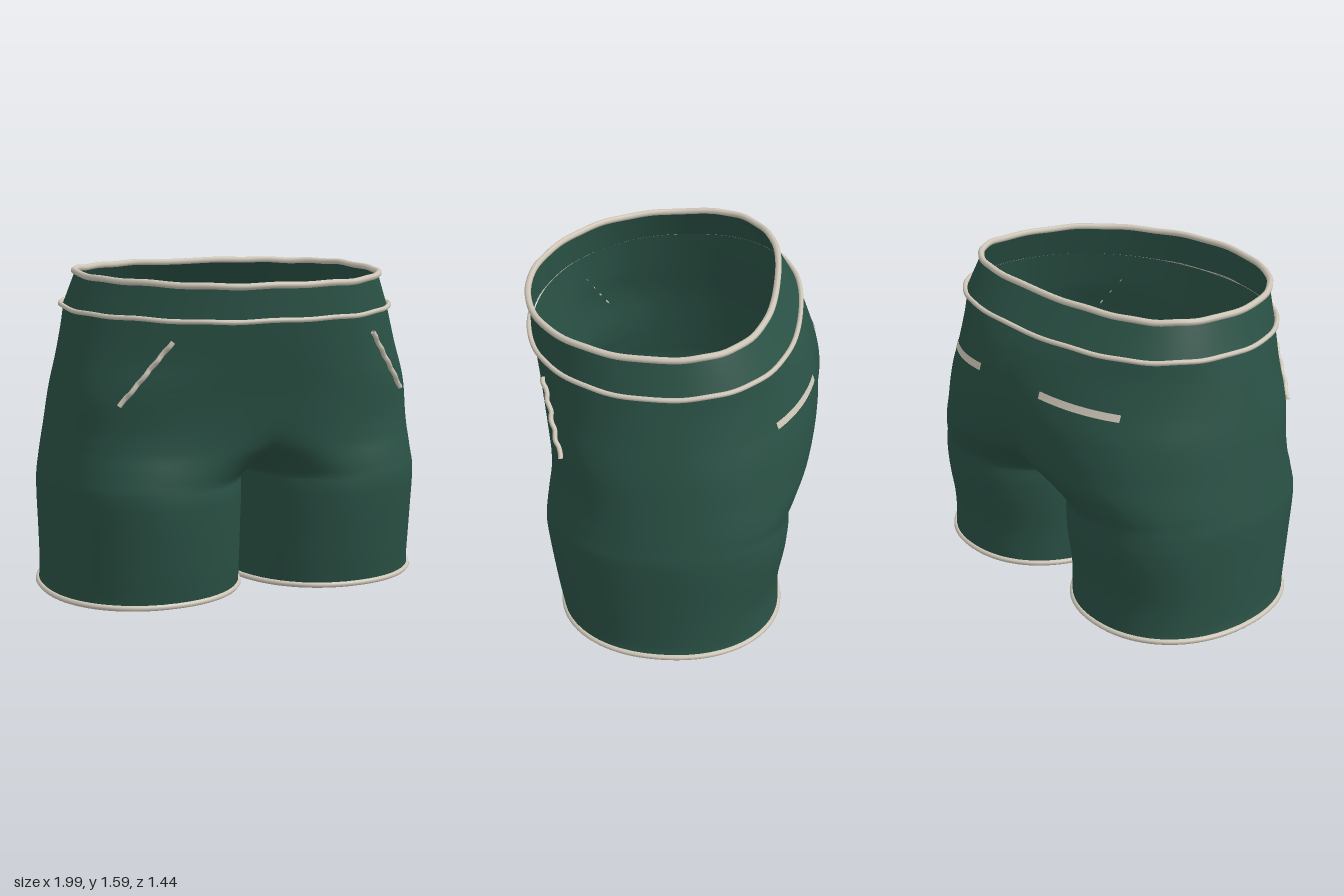
import * as THREE from 'three';
import { mergeVertices } from 'three/addons/utils/BufferGeometryUtils.js';

const fabric = new THREE.MeshStandardMaterial({ color: 0x2a5145, side: THREE.DoubleSide });
fabric.name = 'green fabric';
const trim = new THREE.MeshStandardMaterial({ color: 0xd0c8b9, side: THREE.DoubleSide });
trim.name = 'beige trim';

const ZC = -0.03, CROTCH = 0.57, TOP = 1.4;

// Profiles by height: [y, value]
const P = {
  width: [[0, 0.984], [0.06, 0.974], [0.3, 0.974], [0.55, 0.975], [0.65, 0.962], [0.8, 0.94], [1, 0.91], [1.2, 0.868], [1.4, 0.822]],
  front: [[0, 0.5], [0.2, 0.535], [0.5, 0.572], [0.62, 0.566], [0.76, 0.56], [0.95, 0.59], [1.2, 0.645], [1.4, 0.685]],
  back: [[0, 0.585], [0.2, 0.58], [0.4, 0.61], [0.5, 0.618], [0.6, 0.618], [0.68, 0.65], [0.8, 0.7], [1, 0.724], [1.15, 0.71], [1.3, 0.66], [1.4, 0.605]],
  // how far each half closes toward its own tube: 1 closed leg, 0 one shared hip
  closeF: [[0.5, 1], [0.57, 1], [0.6, 0.96], [0.68, 0.74], [0.76, 0.45], [0.9, 0.13], [1.05, 0], [1.4, 0]],
  closeB: [[0.5, 1], [0.57, 1], [0.6, 0.965], [0.68, 0.76], [0.8, 0.4], [0.95, 0.23], [1.1, 0.14], [1.3, 0.02], [1.4, 0]],
  powF: [[0, 2.15], [0.6, 2.2], [0.8, 2.45], [1, 2.65], [1.2, 2.3], [1.4, 2.1]],
  powB: [[0, 2.15], [0.6, 2.2], [0.8, 2.12], [1, 2.05], [1.15, 1.98], [1.3, 2.12], [1.4, 2.4]],
};

// Smooth interpolation through a profile
function at(table, y) {
  const n = table.length - 1;
  if (y <= table[0][0]) return table[0][1];
  if (y >= table[n][0]) return table[n][1];
  let i = 0;
  while (y > table[i + 1][0]) i++;
  const slope = (j) => {
    const a = table[Math.max(j - 1, 0)], b = table[Math.min(j + 1, n)];
    return (b[1] - a[1]) / (b[0] - a[0]);
  };
  const [x0, v0] = table[i], [x1, v1] = table[i + 1], h = x1 - x0, t = (y - x0) / h;
  const t2 = t * t, t3 = t2 * t;
  return v0 * (2 * t3 - 3 * t2 + 1) + v1 * (3 * t2 - 2 * t3) + h * (slope(i) * (t3 - 2 * t2 + t) + slope(i + 1) * (t3 - t2));
}

// Cross-section of the garment body at one height; the inner legs press together slightly
function bodySection(y) {
  const k = (t) => THREE.MathUtils.clamp(at(t, y), 0, 1);
  return {
    y, W: at(P.width, y), press: 0.004 * THREE.MathUtils.clamp((CROTCH - y) / 0.05, 0, 1),
    tilt: 0.035 * THREE.MathUtils.smoothstep(y, 1, TOP),
    F: { r: at(P.front, y) - ZC, k: k(P.closeF), n: at(P.powF, y) },
    B: { r: at(P.back, y) + ZC, k: k(P.closeB), n: at(P.powB, y) },
  };
}

// Waistband cross-section, t = 0 at the seam and 1 at the waist
function bandSection(t) {
  const mix = THREE.MathUtils.lerp;
  return {
    y: mix(TOP, 1.562, t), W: mix(0.824, 0.762, t), press: 0, tilt: 0.034,
    F: { r: mix(0.69, 0.697, t) - ZC, k: 0, n: 2.07 },
    B: { r: mix(0.607, 0.495, t) + ZC, k: 0, n: mix(2.4, 2.6, t) },
  };
}

// Point on the +x half: s = -1 centre back, 0 side, 1 centre front
function sectionPoint(sec, s) {
  const q = s < 0 ? sec.B : sec.F;
  const rx = sec.W / (1 + q.k), cx = sec.W - rx;
  const a = Math.abs(s) * Math.acos(-Math.pow(q.k, q.n / 2));
  const c = Math.cos(a), e = 2 / q.n;
  let x = Math.max(cx + rx * Math.sign(c) * Math.pow(Math.abs(c), e), 0);
  if (Math.abs(s) === 1) x = 0;
  const z = ZC + Math.sign(s) * q.r * Math.pow(Math.max(Math.sin(a), 0), e);
  return new THREE.Vector3(x - sec.press * (1 - x / sec.W), sec.y - sec.tilt * z, z);
}

function surfaceZ(x, y, back) {
  const sec = bodySection(y), q = back ? sec.B : sec.F;
  const rx = sec.W / (1 + q.k), cx = sec.W - rx;
  const z = q.r * Math.pow(1 - Math.pow(Math.abs((x - cx) / rx), q.n), 1 / q.n);
  return ZC + (back ? -z : z);
}

// Skin rows of points, optionally with a mirrored copy welded on at the centre
function skin(rows, mirror) {
  const pos = [], idx = [], cols = rows[0].length;
  for (const side of mirror ? [1, -1] : [1]) {
    const base = pos.length / 3;
    for (const row of rows) for (const p of row) pos.push(p.x * side, p.y, p.z);
    for (let i = 0; i < rows.length - 1; i++) for (let j = 0; j < cols - 1; j++) {
      const a = base + i * cols + j, b = a + 1, c = a + cols, d = c + 1;
      if (side > 0) idx.push(a, c, b, b, c, d);
      else idx.push(a, b, c, b, d, c);
    }
  }
  let g = new THREE.BufferGeometry();
  g.setAttribute('position', new THREE.Float32BufferAttribute(pos, 3));
  g.setIndex(idx);
  g = mergeVertices(g, 1e-5);
  g.computeVertexNormals();
  return g;
}

const HALF = 28;
const sectionRow = (sec) => Array.from({ length: 2 * HALF + 1 }, (_, j) => sectionPoint(sec, j / HALF - 1));

function add(group, name, geometry, material) {
  const m = new THREE.Mesh(geometry, material);
  m.name = name;
  group.add(m);
}

function cord(points, closed, radius, segments) {
  return new THREE.TubeGeometry(new THREE.CatmullRomCurve3(points, closed), segments, radius, 7, closed);
}

export function createModel() {
  const group = new THREE.Group();
  group.name = 'shorts';

  // Legs and hips in one skin, with rows crowded just above the crotch
  const rows = [];
  for (let i = 0; i <= 30; i++) rows.push(sectionRow(bodySection(0.014 + (CROTCH - 0.014) * i / 30)));
  for (let i = 1; i <= 56; i++) rows.push(sectionRow(bodySection(CROTCH + (TOP - CROTCH) * (i / 56) ** 1.7)));
  add(group, 'legsAndHips', skin(rows, true), fabric);

  // Waistband
  add(group, 'waistband', skin([0, 0.25, 0.5, 0.75, 1].map((t) => sectionRow(bandSection(t))), true), fabric);

  // Piping on the outside of the seam and along the waist edge, slightly wavy
  [['seamPiping', 0, 0.012, 1.016], ['waistPiping', 1, 0.016, 1.006]].forEach(([name, t, r, spread]) => {
    const half = sectionRow(bandSection(t));
    const other = half.slice(1, -1).reverse().map((p) => new THREE.Vector3(-p.x, p.y, p.z));
    const loop = half.concat(other);
    loop.forEach((p, i) => {
      p.x *= spread;
      p.z *= spread;
      p.y += 0.002 * Math.sin(i * 0.9) + 0.002 * Math.sin(i * 0.37);
    });
    add(group, name, cord(loop, true, r, 200), trim);
  });

  for (const side of [1, -1]) {
    const label = side > 0 ? 'left' : 'right';
    const flip = (p) => new THREE.Vector3(p.x * side, p.y, p.z);

    // Hem piping
    const hem = sectionRow(bodySection(0.016)).slice(1).map(flip);
    add(group, label + 'HemPiping', cord(hem, true, 0.014, 110), trim);

    // Slanted front pocket cord
    const pocket = [];
    for (let i = 0; i <= 14; i++) {
      const t = i / 14, x = 0.52 + 0.225 * t, y = 1.285 - 0.3 * t;
      pocket.push(flip(new THREE.Vector3(x, y, surfaceZ(x, y, false) + 0.016 + 0.005 * Math.sin(i * 1.9))));
    }
    add(group, label + 'FrontPocket', cord(pocket, false, 0.012, 50), trim);

    // Flat back pocket strip
    const strip = [-1, 1].map((e) => Array.from({ length: 15 }, (_, i) => {
      const x = 0.22 + 0.39 * i / 14, y = 1.185 - 0.035 * i / 14 + e * 0.017;
      return flip(new THREE.Vector3(x, y, surfaceZ(x, y, true) - 0.009));
    }));
    if (side > 0) strip.forEach((r) => r.reverse());
    add(group, label + 'BackPocket', skin(strip, false), trim);
  }
  return group;
}
